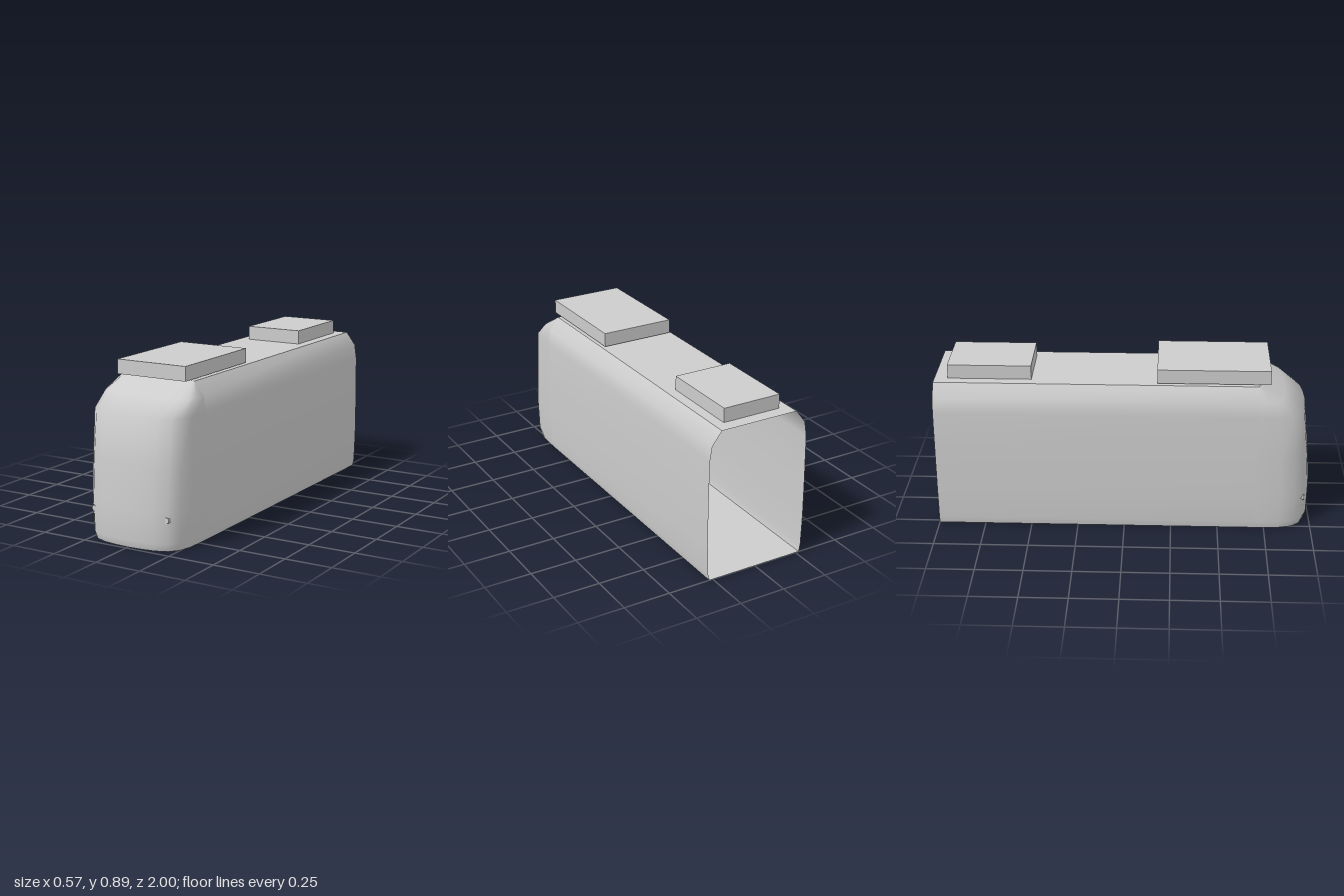
import * as THREE from 'three';

const grey = new THREE.MeshStandardMaterial({ color: 0xcccccc, side: THREE.DoubleSide });
grey.name = 'body grey';

// Skin over rows of points; each row has the same number of [x, y, z] points.
function skin(rows) {
  const n = rows[0].length, index = [];
  for (let i = 0; i < rows.length - 1; i++) {
    for (let j = 0; j < n - 1; j++) {
      const a = i * n + j, b = a + n;
      index.push(a, b, a + 1, b, b + 1, a + 1);
    }
  }
  const g = new THREE.BufferGeometry();
  g.setAttribute('position', new THREE.Float32BufferAttribute(rows.flat(2), 3));
  g.setIndex(index);
  g.computeVertexNormals();
  return g;
}

export function createModel() {
  const model = new THREE.Group();
  model.name = 'railcarBody';
  const add = (name, geometry, x = 0, y = 0, z = 0) => {
    const mesh = new THREE.Mesh(geometry, grey);
    mesh.name = name;
    mesh.position.set(x, y, z);
    model.add(mesh);
    return mesh;
  };

  // Levels up the body: height, half width, foremost z of the nose
  const levels = [
    [0, 0.27, 0.983], [0.04, 0.278, 0.997], [0.2, 0.283, 1], [0.42, 0.283, 0.982],
    [0.655, 0.28, 0.957], [0.735, 0.268, 0.845], [0.805, 0.215, 0.7],
  ];
  const zBack = -1, zSeam = 0.7;

  // Straight saloon: two curved walls, flat roof and floor, open at the rear
  const strip = (section) => skin(section.map(([x, y]) => [[x, y, zBack], [x, y, zSeam]]));
  const right = levels.map(([y, w]) => [-w, y]).reverse();
  const left = levels.map(([y, w]) => [w, y]);
  add('leftWall', strip(left));
  add('rightWall', strip(right));
  add('roof', strip([[0.215, 0.805], [-0.215, 0.805]]));
  add('floor', strip([[-0.27, 0], [0.27, 0]]));

  // Rounded nose: one plan curve scaled at every level
  const half = [[1, 0], [0.985, 0.45], [0.92, 0.7], [0.78, 0.86], [0.54, 0.95], [0.27, 0.985]];
  const plan = [...half, [0, 1], ...half.map(([x, d]) => [-x, d]).reverse()];
  const noseRows = levels.map(([y, w, f]) =>
    plan.map(([x, d]) => [x * w, y, zSeam + d * (f - zSeam)]));
  add('nose', skin(noseRows));

  // Flat underside of the nose
  const under = new THREE.Shape(noseRows[0].map(([x, , z]) => new THREE.Vector2(x, z)));
  add('noseFloor', new THREE.ShapeGeometry(under).rotateX(Math.PI / 2));

  // Roof equipment
  add('frontRoofUnit', new THREE.BoxGeometry(0.4, 0.075, 0.59), 0, 0.848, 0.465);
  add('rearRoofUnit', new THREE.BoxGeometry(0.32, 0.075, 0.44), 0, 0.843, -0.71);

  // Small lamps set almost flush into the nose
  for (const side of [-1, 1]) {
    const lamp = new THREE.CylinderGeometry(0.017, 0.017, 0.03, 5).rotateX(Math.PI / 2).rotateZ(-Math.PI / 2);
    add(side > 0 ? 'leftLamp' : 'rightLamp', lamp, side * 0.213, 0.162, 0.948);
  }
  return model;
}
